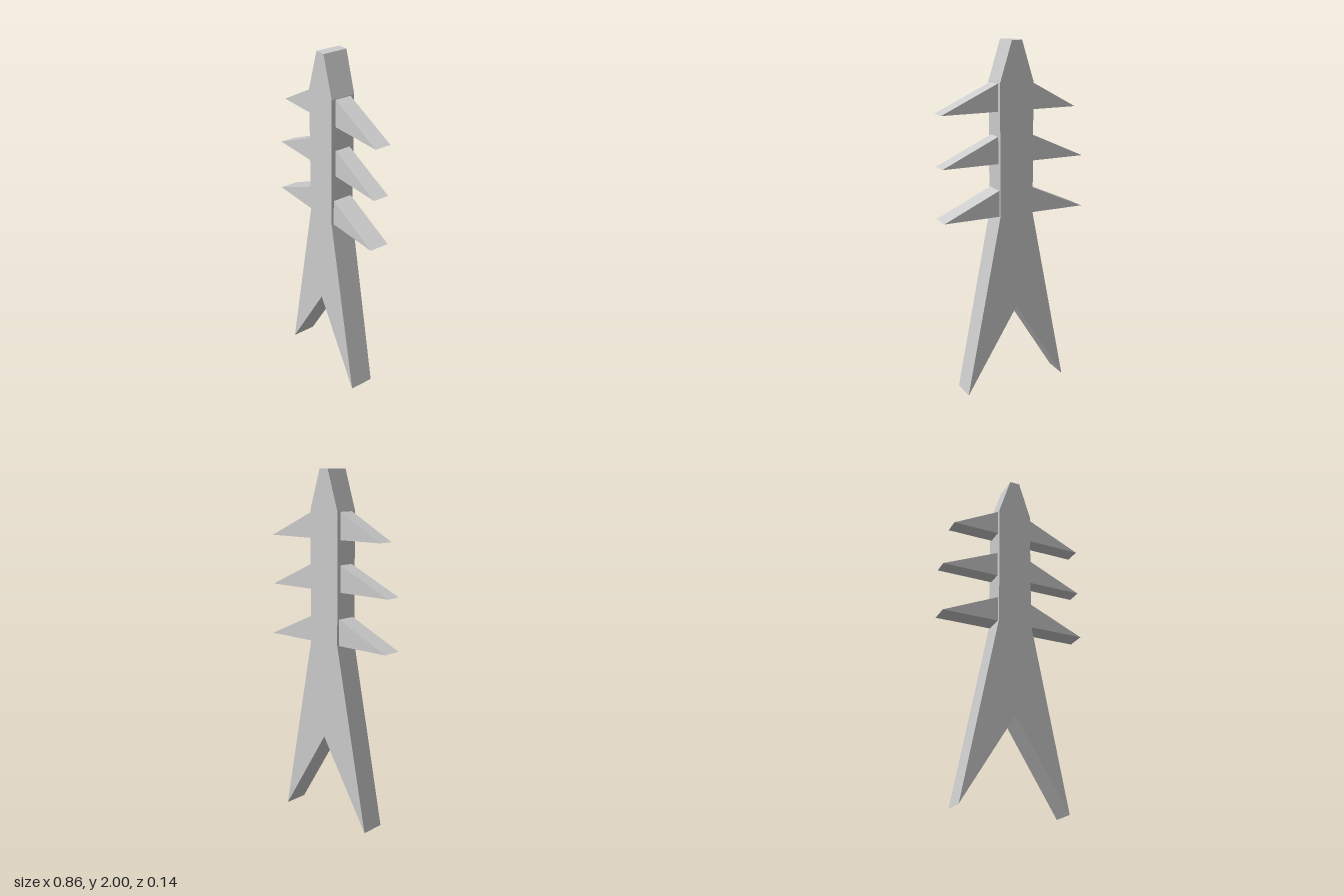
import * as THREE from 'three';

const material = new THREE.MeshStandardMaterial({ color: 0xcccccc, flatShading: true });

// Extrudes an outline in x-y between two depths
function slab(name, points, zBack, zFront) {
  const shape = new THREE.Shape(points.map(([x, y]) => new THREE.Vector2(x, y)));
  const geometry = new THREE.ExtrudeGeometry(shape, { depth: zFront - zBack, bevelEnabled: false });
  geometry.translate(0, 0, zBack);
  const mesh = new THREE.Mesh(geometry, material);
  mesh.name = name;
  return mesh;
}

export function createModel() {
  const group = new THREE.Group();
  group.name = 'transmissionTower';

  // Tower body: tapered top, straight shaft, two splayed legs
  const half = [[0.31, 0], [0.1, 1.05], [0.1, 1.78], [0.03, 2]];
  const mirrored = half.map(([x, y]) => [-x, y]).reverse();
  group.add(slab('towerBody', [[0, 0.5], ...half, ...mirrored], -0.071, 0.071));

  // Three pairs of wedge-shaped cross arms
  const arms = [
    { name: 'upper', y: 1.627, top: 1.777, left: 0.428, right: 0.375, back: -0.047, front: 0.046 },
    { name: 'middle', y: 1.342, top: 1.492, left: 0.428, right: 0.432, back: -0.046, front: 0.045 },
    { name: 'lower', y: 1.047, top: 1.195, left: 0.428, right: 0.428, back: -0.057, front: 0.057 },
  ];
  for (const { name, y, top, left, right, back, front } of arms) {
    group.add(slab(name + 'LeftArm', [[0.1, y], [left, y], [0.1, top]], back, front));
    group.add(slab(name + 'RightArm', [[-0.1, y], [-0.1, top], [-right, y]], back, front));
  }
  return group;
}
